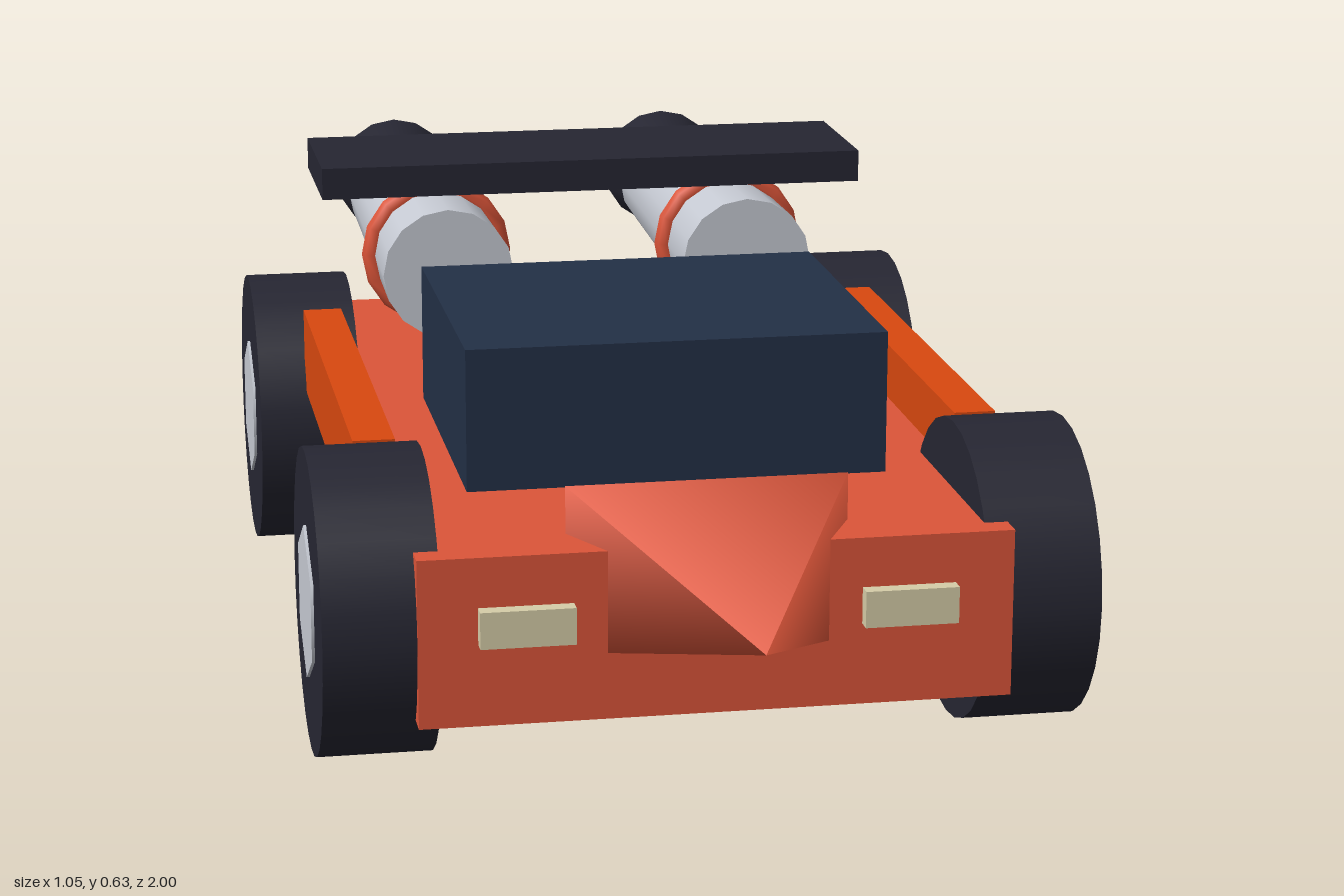
import * as THREE from 'three';

const material = (name, color, side = THREE.FrontSide) => {
  const m = new THREE.MeshStandardMaterial({ color, side });
  m.name = name;
  return m;
};

export function createModel() {
  const red = material('body red', 0xdc5539);
  const orange = material('panel orange', 0xd9480f);
  const black = material('rubber black', 0x262632, THREE.DoubleSide);
  const navy = material('cabin navy', 0x233046);
  const silver = material('metal silver', 0xc6cad3);
  const blue = material('stripe blue', 0x31a2cc);
  const cream = material('headlight cream', 0xd6cda8);
  const crimson = material('tail light crimson', 0xc4203c);

  const model = new THREE.Group();
  model.name = 'rocketCar';

  const add = (name, geometry, mat, x = 0, y = 0, z = 0, parent = model) => {
    const mesh = new THREE.Mesh(geometry, mat);
    mesh.name = name;
    mesh.position.set(x, y, z);
    parent.add(mesh);
    return mesh;
  };
  // Box given by its limits on each axis
  const box = (name, mat, [x0, x1], [y0, y1], [z0, z1]) =>
    add(name, new THREE.BoxGeometry(x1 - x0, y1 - y0, z1 - z0), mat,
      (x0 + x1) / 2, (y0 + y1) / 2, (z0 + z1) / 2);
  // Same box on the left (+x) and the right (-x)
  const boxPair = (name, mat, [x0, x1], y, z) => {
    box(name + 'Left', mat, [x0, x1], y, z);
    box(name + 'Right', mat, [-x1, -x0], y, z);
  };

  // Body, floor and cabin
  box('body', red, [-0.397, 0.397], [0.095, 0.325], [-0.72, 0.705]);
  box('floor', black, [-0.358, 0.358], [0.075, 0.095], [-0.67, 0.65]);
  box('cabin', navy, [-0.293, 0.293], [0.325, 0.525], [-0.09, 0.41]);
  boxPair('sidePanel', orange, [0.39, 0.448], [0.28, 0.405], [-0.34, 0.41]);
  boxPair('sideStripe', blue, [0.397, 0.412], [0.105, 0.13], [-0.36, 0.36]);

  // Pointed nose: four-sided cone, flattened in height
  const nose = new THREE.ConeGeometry(0.19 * Math.SQRT2, 0.38, 4);
  nose.rotateY(Math.PI / 4).rotateX(Math.PI / 2).scale(1, 0.605, 1);
  add('nose', nose, red, 0, 0.275, 0.81);

  // Lights
  boxPair('headlight', cream, [0.192, 0.318], [0.207, 0.257], [0.7, 0.726]);
  box('tailLight', crimson, [-0.275, 0.275], [0.215, 0.252], [-0.745, -0.715]);

  // Rear wing
  box('rearWing', black, [-0.418, 0.418], [0.585, 0.633], [-0.55, -0.303]);

  // Wheels with hexagonal hubs
  const tyre = new THREE.CylinderGeometry(0.209, 0.209, 0.155, 28).rotateZ(Math.PI / 2);
  const hub = new THREE.CylinderGeometry(0.107, 0.107, 0.163, 6)
    .rotateY(Math.PI / 2).rotateZ(Math.PI / 2);
  for (const side of [1, -1]) {
    for (const [end, z] of [['front', 0.495], ['rear', -0.51]]) {
      const wheel = new THREE.Group();
      wheel.name = end + 'Wheel' + (side > 0 ? 'Left' : 'Right');
      wheel.position.set(side * 0.4425, 0.209, z);
      add('tyre', tyre, black, 0, 0, 0, wheel);
      add('hub', hub, silver, 0, 0, 0, wheel);
      model.add(wheel);
    }
  }

  // Rocket boosters: barrel, clamp ring and open flared nozzle
  const barrel = new THREE.CylinderGeometry(0.1, 0.09, 0.63, 16).rotateX(Math.PI / 2);
  const ring = new THREE.TorusGeometry(0.101, 0.016, 8, 16);
  const nozzle = new THREE.CylinderGeometry(0.075, 0.098, 0.115, 16, 1, true)
    .rotateX(Math.PI / 2);
  for (const side of [1, -1]) {
    const booster = new THREE.Group();
    booster.name = side > 0 ? 'boosterLeft' : 'boosterRight';
    booster.position.set(side * 0.232, 0.473, 0);
    add('barrel', barrel, silver, 0, 0, -0.57, booster);
    add('clampRing', ring, red, 0, 0, -0.412, booster);
    add('nozzle', nozzle, black, 0, 0, -0.9425, booster);
    model.add(booster);
  }

  return model;
}
